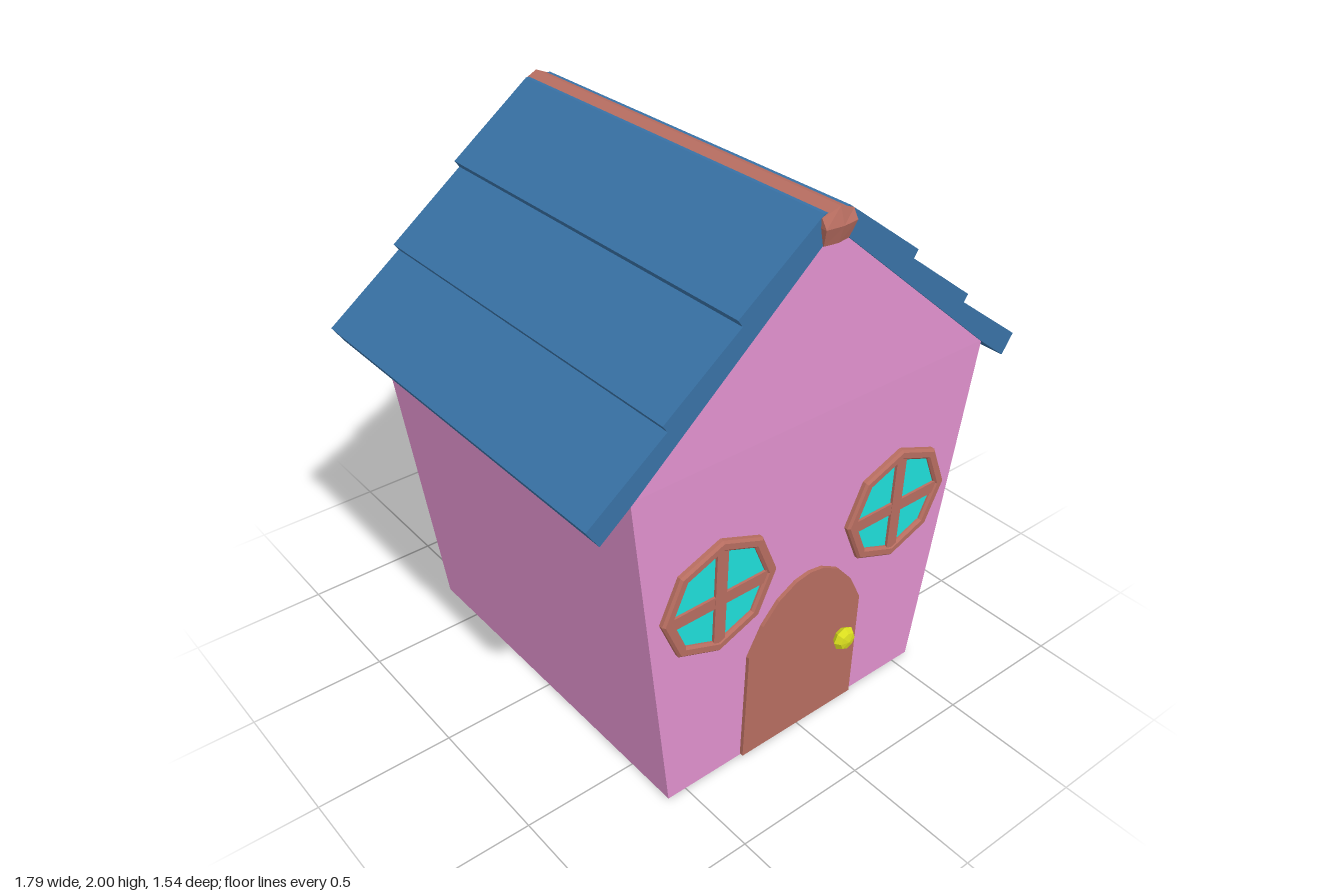
import * as THREE from 'three';
import { ConvexGeometry } from 'three/addons/geometries/ConvexGeometry.js';

const material = (color) => new THREE.MeshStandardMaterial({ color, flatShading: true });
const pink = material(0xe091cd);
const blue = material(0x3871a5);
const brown = material(0xb76d60);
const cyan = material(0x1fdfda);
const yellow = material(0xd8dc1e);

function part(name, geometry, mat, x = 0, y = 0, z = 0) {
  const mesh = new THREE.Mesh(geometry, mat);
  mesh.name = name;
  mesh.position.set(x, y, z);
  return mesh;
}

const shapeOf = (points) => new THREE.Shape(points.map(([x, y]) => new THREE.Vector2(x, y)));

// Walls flare outward up to the eaves, then close in an upright gable.
function createWalls() {
  const points = [];
  for (const z of [-1, 1]) {
    for (const x of [-1, 1]) {
      points.push(new THREE.Vector3(x * 0.573, 0, z * 0.698));
      points.push(new THREE.Vector3(x * 0.735, 1.308, z * 0.733));
    }
    points.push(new THREE.Vector3(0, 1.935, z * 0.733));
  }
  return part('walls', new ConvexGeometry(points), pink);
}

// Half profile from the ridge down three overlapping rows, back up the underside; mirrored.
function createRoof() {
  const top = [[0.05, 1.985], [0.36, 1.755], [0.343, 1.73], [0.625, 1.518], [0.608, 1.494], [0.893, 1.283], [0.848, 1.215]];
  const under = [[0.735, 1.303]];
  const half = [...top, ...under];
  const mirrored = half.map(([x, y]) => [-x, y]).reverse();
  const geometry = new THREE.ExtrudeGeometry(shapeOf([...half, [0, 1.93], ...mirrored]), { depth: 1.48, bevelEnabled: false });
  return part('roof', geometry, blue, 0, 0, -0.74);
}

// Ridge beam: a box with a peaked top, a narrower base and pointed ends.
function createRidge() {
  const geometry = new THREE.BoxGeometry(2, 2, 2, 2, 2, 1);
  const p = geometry.attributes.position;
  for (let i = 0; i < p.count; i++) {
    const x = Math.round(p.getX(i)), y = Math.round(p.getY(i)), z = p.getZ(i);
    const height = y > 0 ? (x ? 1.975 : 2) : y < 0 ? 1.886 : 1.945;
    const reach = 0.743 + (y ? 0 : 0.019) + (x ? 0 : 0.008);
    p.setXYZ(i, x * (y < 0 ? 0.05 : 0.062), height, Math.sign(z) * reach);
  }
  geometry.computeVertexNormals();
  return part('ridgeBeam', geometry, brown);
}

// Octagonal window: bevelled frame, pane and crossing bars.
function createWindow(name, x) {
  const group = new THREE.Group();
  group.name = name;
  group.position.set(x, 0.797, 0);
  const octagon = (rx, ry) => Array.from({ length: 8 }, (_, i) => {
    const a = (i * Math.PI) / 4;
    return [Math.cos(a) * rx, Math.sin(a) * ry];
  });
  const ring = shapeOf(octagon(0.232, 0.222));
  ring.holes.push(shapeOf(octagon(0.19, 0.182)));
  const frame = new THREE.ExtrudeGeometry(ring, {
    depth: 0.014, bevelThickness: 0.008, bevelSize: 0.008, bevelOffset: -0.008, bevelSegments: 1,
  });
  const pane = new THREE.ExtrudeGeometry(shapeOf(octagon(0.205, 0.197)), { depth: 0.008, bevelEnabled: false });
  group.add(
    part('windowFrame', frame, brown),
    part('windowPane', pane, cyan),
    part('verticalBar', new THREE.BoxGeometry(0.045, 0.37, 0.018), brown, 0, 0, 0.009),
    part('horizontalBar', new THREE.BoxGeometry(0.39, 0.045, 0.016), brown, 0, -0.012, 0.009),
  );
  return group;
}

// Arched door.
function createDoor() {
  const arch = [[0.255, 0.457], [0.2, 0.565], [0.135, 0.64], [0.06, 0.682]];
  const right = [[0.257, 0.005], ...arch];
  const left = right.map(([x, y]) => [-x, y]).reverse();
  const geometry = new THREE.ExtrudeGeometry(shapeOf([...right, [0, 0.692], ...left]), { depth: 0.022, bevelEnabled: false });
  return part('door', geometry, brown, 0, 0, -0.008);
}

// Faceted, flattened knob on a short neck.
function createKnob() {
  const group = new THREE.Group();
  group.name = 'doorKnob';
  group.position.set(0.18, 0.315, 0.031);
  const ball = new THREE.SphereGeometry(0.047, 8, 4).rotateX(Math.PI / 2).scale(1, 1, 0.6);
  const neck = new THREE.CylinderGeometry(0.025, 0.025, 0.03, 8).rotateX(Math.PI / 2);
  group.add(part('knobBall', ball, yellow), part('knobNeck', neck, yellow, 0, 0, -0.015));
  return group;
}

export function createModel() {
  const house = new THREE.Group();
  house.name = 'house';

  // The front fittings lean with the flared front wall.
  const facade = new THREE.Group();
  facade.name = 'frontFittings';
  facade.position.z = 0.698;
  facade.rotation.x = Math.atan2(0.035, 1.308);
  facade.add(createDoor(), createKnob(), createWindow('rightWindow', -0.394), createWindow('leftWindow', 0.387));

  house.add(createWalls(), createRoof(), createRidge(), facade);
  return house;
}
